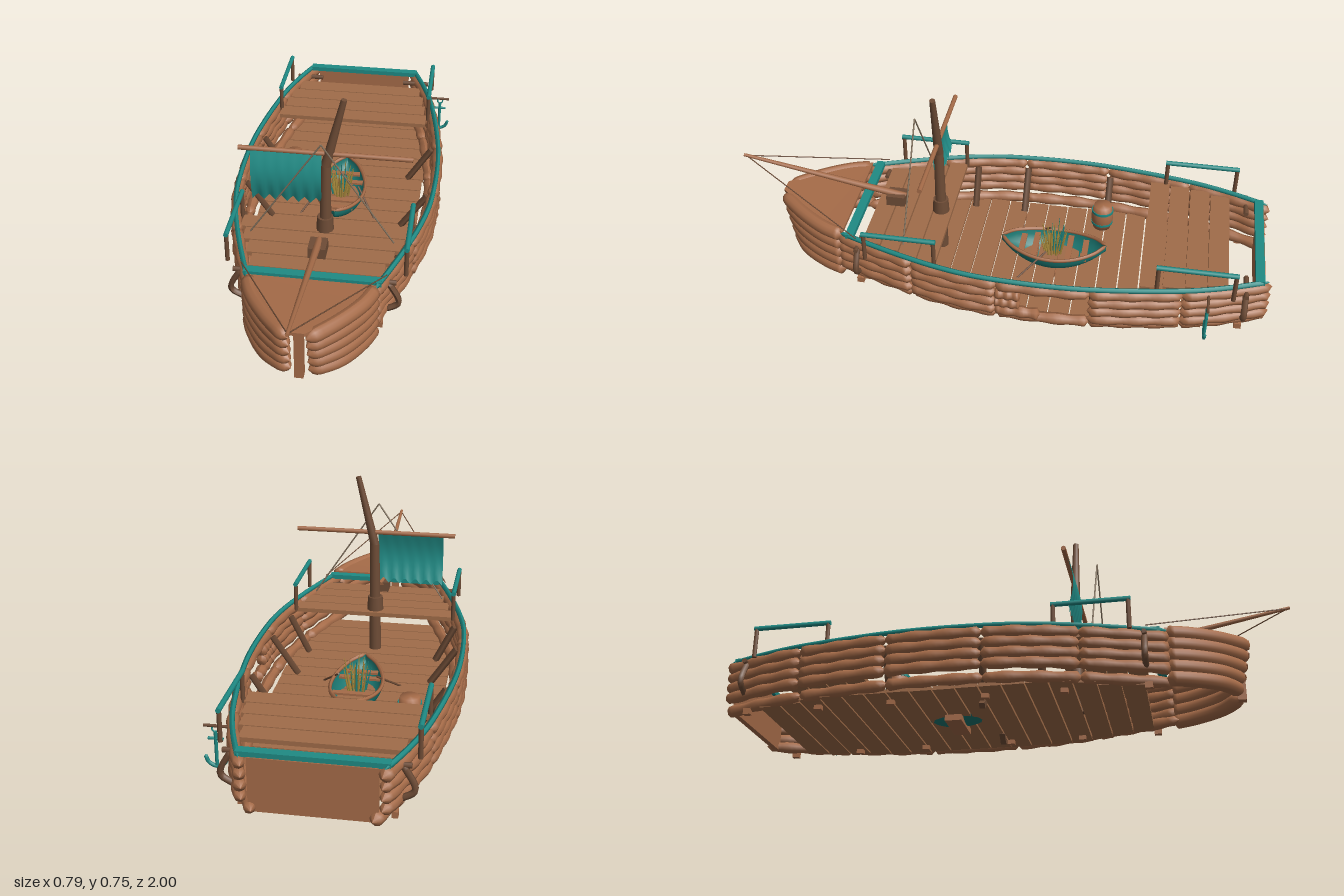
import * as THREE from 'three';

const M = (name, color) => new THREE.MeshStandardMaterial({ name, color });
const V = (x, y, z) => new THREE.Vector3(x, y, z);

export function createModel() {
  const wood = M('warm wood', 0xa56b48);
  const plank = M('deck wood', 0xa06c49);
  const dark = M('dark wood', 0x6e4c36);
  const teal = M('teal paint', 0x1f8a84);
  const cloth = M('teal cloth', 0x23908a);
  cloth.side = THREE.DoubleSide;
  const shell = M('boat teal', 0x1b7771);
  shell.side = THREE.DoubleSide;
  const rope = M('rope', 0x857460);
  const straw = M('dry grass', 0xb0903f);

  const root = new THREE.Group();
  let seed = 7;
  const rnd = () => (seed = (seed * 16807) % 2147483647) / 2147483647;
  const add = (name, geo, mat, x = 0, y = 0, z = 0, parent = root) => {
    const m = new THREE.Mesh(geo, mat);
    m.name = name;
    m.position.set(x, y, z);
    parent.add(m);
    return m;
  };
  const box = (name, w, h, d, mat, x, y, z, parent) =>
    add(name, new THREE.BoxGeometry(w, h, d), mat, x, y, z, parent);
  // Round bar between two points
  const bar = (name, a, b, r1, r2, mat, sides = 8, parent = root) => {
    const d = b.clone().sub(a);
    const m = add(name, new THREE.CylinderGeometry(r2, r1, d.length(), sides), mat, 0, 0, 0, parent);
    m.position.copy(a).add(b).multiplyScalar(0.5);
    m.quaternion.setFromUnitVectors(V(0, 1, 0), d.normalize());
    return m;
  };
  // Swept bar whose radius follows a rule; zero radius closes the ends
  const sweep = (name, pts, rule, mat, n = 16, sides = 8, parent = root) => {
    const curve = new THREE.CatmullRomCurve3(pts);
    const geo = new THREE.TubeGeometry(curve, n, 1, sides, false);
    const p = geo.attributes.position;
    for (let i = 0; i <= n; i++) {
      const c = curve.getPointAt(i / n), r = rule(i / n);
      for (let j = 0; j <= sides; j++) {
        const k = i * (sides + 1) + j;
        const v = V(0, 0, 0).fromBufferAttribute(p, k).sub(c).multiplyScalar(r).add(c);
        p.setXYZ(k, v.x, v.y, v.z);
      }
    }
    geo.computeVertexNormals();
    return add(name, geo, mat, 0, 0, 0, parent);
  };
  const blunt = (r) => (t) => (t < 0.001 || t > 0.999 ? 0 : r);

  // Outer half width of the hull along its length
  const stations = [[-1, 0.235], [-0.8, 0.31], [-0.6, 0.355], [-0.3, 0.392], [0, 0.388],
    [0.2, 0.355], [0.4, 0.295], [0.58, 0.23]];
  const outline = new THREE.SplineCurve(stations.map(([z, x]) => new THREE.Vector2(z, x)));
  const table = outline.getPoints(120);
  const hw = (z) => {
    let i = 0;
    while (i < 119 && table[i + 1].x < z) i++;
    const a = table[i], b = table[i + 1];
    return a.y + (b.y - a.y) * THREE.MathUtils.clamp((z - a.x) / (b.x - a.x), 0, 1);
  };

  // Side walls of stacked logs, with a breach on the left side
  const rows = [0.2, 0.162, 0.124, 0.086, 0.047];
  const joints = [-1, -0.69, -0.37, -0.04, 0.28, 0.58];
  const walls = new THREE.Group();
  walls.name = 'hullLogs';
  root.add(walls);
  for (const s of [-1, 1]) rows.forEach((y, r) => {
    for (let k = 0; k < 5; k++) {
      let a = joints[k] + (k ? -0.006 : 0);
      const b = joints[k + 1] + (k < 4 ? 0.006 : 0);
      if (s > 0 && k === 2 && r > 0 && r < 4) a = r === 3 ? -0.2 : -0.13;
      const off = 0.022 + (r === 4 ? 0.028 : 0);
      const pts = Array.from({ length: 7 }, (_, i) => {
        const z = a + (b - a) * i / 6;
        return V(s * (hw(z) - off), y, z);
      });
      const ph = rnd() * 6;
      sweep('hullLog', pts, (t) => (t < 0.001 || t > 0.999 ? 0
        : 0.0205 + 0.0022 * Math.sin(t * 19 + ph)), wood, 18, 8, walls);
    }
  });

  // Bow of rounded strakes, closed by a top plate and a stem post
  for (const s of [-1, 1]) for (let r = 0; r < 5; r++) {
    const y = 0.053 + r * 0.041, g = 1 - (4 - r) * 0.012;
    sweep('bowStrake', [V(s * 0.215, y - 0.002, 0.56), V(s * 0.185, y, 0.64), V(s * 0.12, y + 0.004, 0.74),
      V(s * 0.028, y + 0.007, 0.845 * g)],
    (t) => 0.0265 * Math.sqrt(Math.max(0, Math.min(1, t * 25, (1 - t) * 10))), wood, 24, 12);
  }
  const tip = new THREE.Shape([[-0.22, 0.56], [-0.185, 0.65], [-0.12, 0.745], [-0.025, 0.845],
    [0.025, 0.845], [0.12, 0.745], [0.185, 0.65], [0.22, 0.56]].map(([x, z]) => new THREE.Vector2(x, -z)));
  const plate = new THREE.ExtrudeGeometry(tip, { depth: 0.012, bevelEnabled: false });
  plate.rotateX(-Math.PI / 2);
  const pp = plate.attributes.position;
  for (let i = 0; i < pp.count; i++)
    pp.setY(i, pp.getY(i) + 0.222 + 0.016 * (1 - Math.abs(pp.getX(i)) / 0.22));
  plate.computeVertexNormals();
  add('bowDeck', plate, wood);
  box('stemPost', 0.03, 0.2, 0.03, wood, 0, 0.135, 0.805);

  // Transom
  box('transom', 0.4, 0.185, 0.02, wood, 0, 0.125, -0.965);

  // Floor and raised decks made of cross planks
  const planks = (name, z0, z1, n, y, h, half) => {
    const g = new THREE.Group();
    g.name = name;
    root.add(g);
    const step = (z1 - z0) / n;
    for (let i = 0; i < n; i++) {
      const z = z0 + (i + 0.5) * step;
      box('plank', 2 * half(z) - rnd() * 0.012, h, step - 0.005, plank, (rnd() - 0.5) * 0.008, y, z, g);
    }
  };
  planks('holdFloor', -0.85, 0.49, 17, 0.036, 0.014, (z) => Math.min(0.315, hw(z) - 0.045));
  planks('sternDeck', -0.85, -0.54, 4, 0.203, 0.016, (z) => Math.min(0.31, hw(z) - 0.045));
  planks('foreDeck', 0.19, 0.485, 4, 0.203, 0.016, (z) => hw(z) - 0.04);

  // Feet, knees inside the hold and braces outside
  for (const s of [-1, 1]) {
    for (const z of [0.5, 0.22, -0.05, -0.38, -0.64, -0.9]) {
      const x = s * Math.min(0.24, hw(z) - 0.03);
      box('keelPeg', 0.02, 0.022, 0.026, wood, x, 0.024, z);
    }
    for (const z of [-0.38, -0.05, 0.15])
      bar('knee', V(s * 0.25, 0.045, z), V(s * (hw(z) - 0.045), 0.19, z), 0.013, 0.013, dark, 4);
    for (const z of [0.495, -0.91]) {
      const w = hw(z);
      sweep('sideBrace', [V(s * (w - 0.01), 0.205, z), V(s * (w + 0.03), 0.115, z), V(s * (w - 0.02), 0.08, z)],
        blunt(0.011), dark, 14, 6);
      bar('braceBeam', V(s * 0.18, 0.2, z), V(s * (w + 0.02), 0.2, z), 0.009, 0.009, dark, 6);
    }
  }

  // Gunwales, cross bars and hand rails
  for (const s of [-1, 1]) {
    const pts = Array.from({ length: 13 }, (_, i) => {
      const z = -0.99 + i * 0.1308;
      return V(s * (hw(z) - 0.02), 0.224, z);
    });
    sweep('gunwale', pts, blunt(0.0095), teal, 48, 6);
    for (const [a, b] of [[-0.865, -0.6], [0.195, 0.45]]) {
      for (const z of [a, b]) bar('railPost', V(s * 0.31, 0.2, z), V(s * 0.31, 0.31, z), 0.008, 0.008, dark);
      bar('handRail', V(s * 0.31, 0.31, a - 0.008), V(s * 0.31, 0.31, b + 0.008), 0.009, 0.009, teal);
    }
  }
  box('frontCrossBar', 0.47, 0.018, 0.032, teal, 0, 0.225, 0.53);
  box('sternCrossBar', 0.47, 0.018, 0.032, teal, 0, 0.225, -0.955);

  // Broken mast, yard and torn sail
  const mz = 0.235;
  bar('mastLower', V(0, 0.03, mz), V(0.003, 0.48, mz), 0.024, 0.018, dark, 12);
  add('mastBend', new THREE.SphereGeometry(0.0178, 12, 8), dark, 0.003, 0.48, mz);
  bar('mastUpper', V(0.003, 0.48, mz), V(0.066, 0.745, mz), 0.018, 0.0105, dark, 12);
  add('mastCollar', new THREE.CylinderGeometry(0.029, 0.032, 0.055, 12), dark, 0, 0.237, mz);
  bar('yard', V(-0.305, 0.528, mz), V(0.305, 0.528, mz), 0.009, 0.009, wood);
  const sail = new THREE.PlaneGeometry(0.25, 0.2, 24, 8);
  const sp = sail.attributes.position;
  for (let i = 0; i < sp.count; i++) {
    const u = sp.getX(i) / 0.25 + 0.5, v = 0.5 - sp.getY(i) / 0.2;
    const tooth = Math.abs(((u * 6) % 1) - 0.5) * 2;
    sp.setXYZ(i, -0.26 + u * 0.25, 0.525 - v * (0.18 + 0.024 * tooth), mz + 0.006 + 0.02 * Math.sin(v * Math.PI));
  }
  sail.computeVertexNormals();
  add('sail', sail, cloth);

  // Bowsprit and rigging
  box('bowspritBlock', 0.062, 0.04, 0.07, dark, 0, 0.25, 0.405);
  bar('bowsprit', V(0, 0.258, 0.37), V(0, 0.375, 0.998), 0.014, 0.006, wood);
  for (const s of [-1, 1]) {
    bar('stay', V(s * 0.255, 0.235, 0.32), V(0, 0.615, 0.32), 0.003, 0.003, rope, 5);
    bar('bowRope', V(s * 0.25, 0.235, 0.5), V(0, 0.373, 0.99), 0.0022, 0.0022, dark, 5);
  }

  // Small boat resting through the floor
  const boat = new THREE.Group();
  boat.name = 'smallBoat';
  boat.position.set(0, 0, -0.2);
  root.add(boat);
  const hull = new THREE.PlaneGeometry(1, 1, 16, 10);
  const hp = hull.attributes.position;
  const beam = (u) => 0.093 * Math.pow(Math.max(0, 1 - u * u), 0.75);
  for (let i = 0; i < hp.count; i++) {
    const u = hp.getX(i) * 2, a = hp.getY(i) * Math.PI;
    hp.setXYZ(i, Math.sin(a) * beam(u), 0.095 + 0.025 * u * u - 0.083 * Math.cos(a) * (1 - 0.7 * u * u), u * 0.2);
  }
  hull.computeVertexNormals();
  add('boatShell', hull, shell, 0, 0, 0, boat);
  for (const s of [-1, 1]) {
    const pts = Array.from({ length: 11 }, (_, i) => {
      const u = i / 5 - 1;
      return V(s * beam(u), 0.097 + 0.025 * u * u, u * 0.2);
    });
    sweep('boatRim', pts, blunt(0.007), wood, 30, 6, boat);
    bar('oar', V(s * 0.07, 0.12, 0.02), V(s * 0.155, 0.03, 0.13), 0.004, 0.004, dark, 6, boat);
    const blade = box('oarBlade', 0.02, 0.045, 0.02, dark, s * 0.18, 0.02, 0.13, boat);
    blade.rotation.z = s * 0.85;
  }
  for (const z of [-0.12, -0.06, 0.07, 0.12])
    box('boatSeat', 1.8 * beam(z / 0.2), 0.008, 0.022, wood, 0, 0.085, z, boat);
  box('boatCradle', 0.155, 0.022, 0.06, wood, 0, 0.016, 0, boat);

  // Dry grass growing in the boat
  for (let i = 0; i < 34; i++) {
    const a = i * 2.4, r = 0.05 * Math.sqrt(i / 34);
    const x = Math.cos(a) * r, z = Math.sin(a) * r, h = 0.07 + rnd() * 0.045;
    bar('grassBlade', V(x * 0.7, 0.07, z * 0.7), V(x * 1.15, 0.08 + h, z * 1.15), 0.004, 0.001,
      i % 5 ? straw : teal, 4, boat);
  }

  // Barrel in the hold
  const barrel = new THREE.Group();
  barrel.name = 'barrel';
  barrel.position.set(-0.215, 0.043, -0.365);
  root.add(barrel);
  const prof = [[0, 0], [0.034, 0], [0.041, 0.03], [0.043, 0.052], [0.041, 0.074], [0.034, 0.104], [0, 0.104]];
  add('barrelBody', new THREE.LatheGeometry(prof.map(([x, y]) => new THREE.Vector2(x, y)), 16), wood, 0, 0, 0, barrel);
  for (const y of [0.026, 0.078])
    add('barrelHoop', new THREE.CylinderGeometry(0.0425, 0.0425, 0.009, 16), teal, 0, y, 0, barrel);

  // Anchor hanging over the left quarter
  const ax = 0.352, az = -0.78;
  bar('anchorBeam', V(0.29, 0.205, az), V(0.39, 0.205, az), 0.005, 0.005, dark, 6);
  bar('anchorShank', V(ax, 0.065, az), V(ax, 0.185, az), 0.006, 0.006, teal);
  bar('anchorStock', V(ax - 0.025, 0.16, az), V(ax + 0.025, 0.16, az), 0.005, 0.005, teal);
  add('anchorRing', new THREE.TorusGeometry(0.011, 0.003, 6, 14), teal, ax, 0.195, az);
  sweep('anchorArms', [V(ax - 0.038, 0.1, az), V(ax - 0.026, 0.072, az), V(ax, 0.06, az),
    V(ax + 0.026, 0.072, az), V(ax + 0.038, 0.1, az)], blunt(0.0065), teal, 20, 6);

  return root;
}
